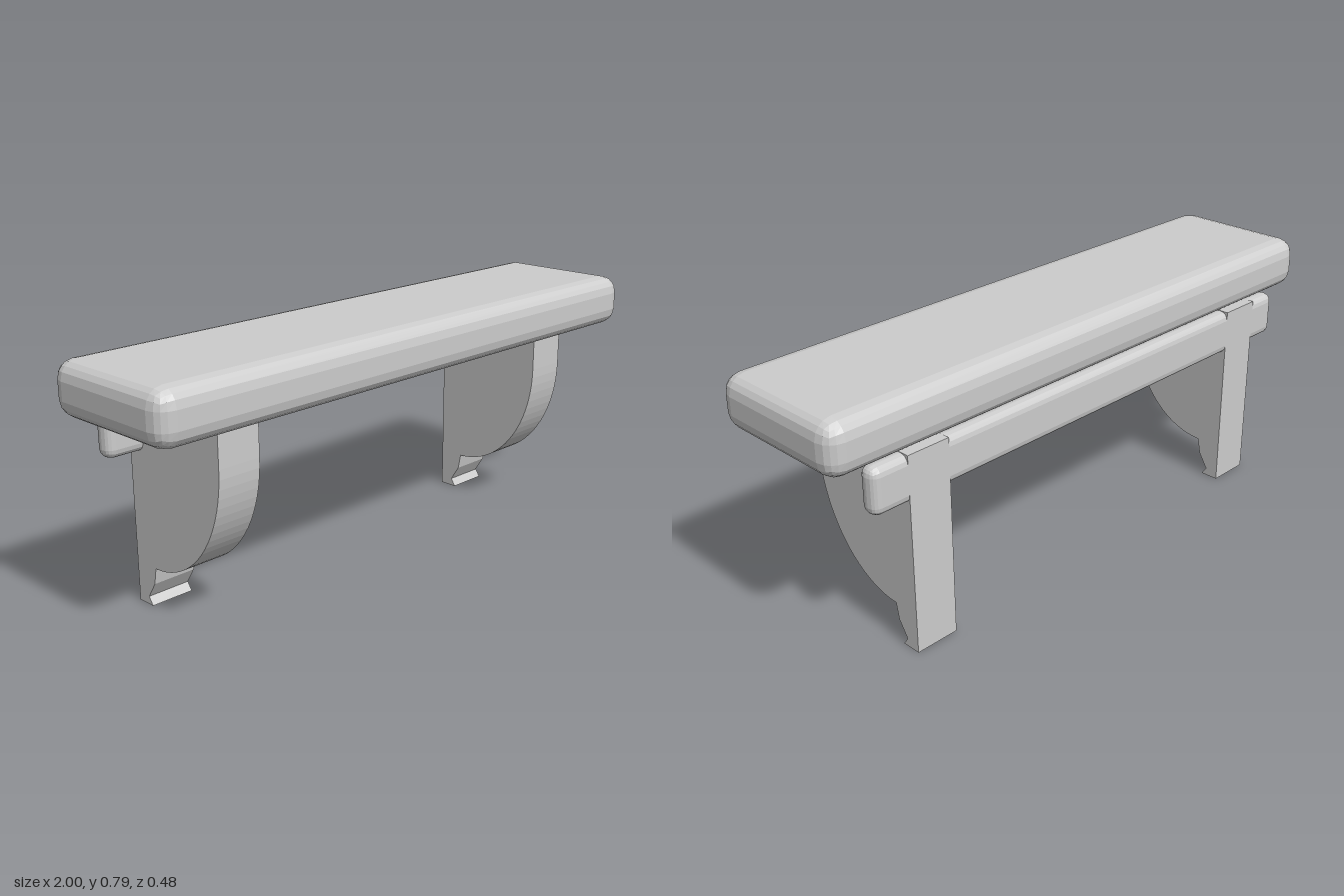
import * as THREE from 'three';
import { RoundedBoxGeometry } from 'three/addons/geometries/RoundedBoxGeometry.js';

export function createModel() {
  const model = new THREE.Group();
  model.name = 'wallShelf';
  const grey = new THREE.MeshStandardMaterial({ color: 0xcccccc, flatShading: true });
  grey.name = 'light grey';

  const add = (name, geometry, x, y, z) => {
    const mesh = new THREE.Mesh(geometry, grey);
    mesh.name = name;
    mesh.position.set(x, y, z);
    model.add(mesh);
  };

  // Thick board with rounded edges
  add('shelfBoard', new RoundedBoxGeometry(2, 0.166, 0.48, 2, 0.055), 0, 0.708, 0);

  // Rail along the wall under the board
  add('backRail', new RoundedBoxGeometry(1.75, 0.145, 0.062, 2, 0.028), 0, 0.5525, -0.209);

  // Bracket side profile, drawn as (z, y)
  const profile = new THREE.Shape();
  profile.moveTo(-0.24, 0);
  profile.lineTo(-0.178, 0);
  profile.lineTo(-0.195, 0.025);
  profile.lineTo(-0.163, 0.075);
  profile.lineTo(-0.153, 0.127);
  profile.absellipse(-0.153, 0.51, 0.309, 0.383, -Math.PI / 2, 0, false, 0);
  profile.lineTo(0.156, 0.626);
  profile.lineTo(-0.24, 0.626);
  profile.closePath();

  const width = 0.143;
  const bracket = new THREE.ExtrudeGeometry(profile, { depth: width, bevelEnabled: false, curveSegments: 10 });
  bracket.translate(0, 0, -width / 2);
  bracket.rotateY(-Math.PI / 2);
  add('leftBracket', bracket, 0.686, 0, 0);
  add('rightBracket', bracket, -0.686, 0, 0);

  return model;
}
